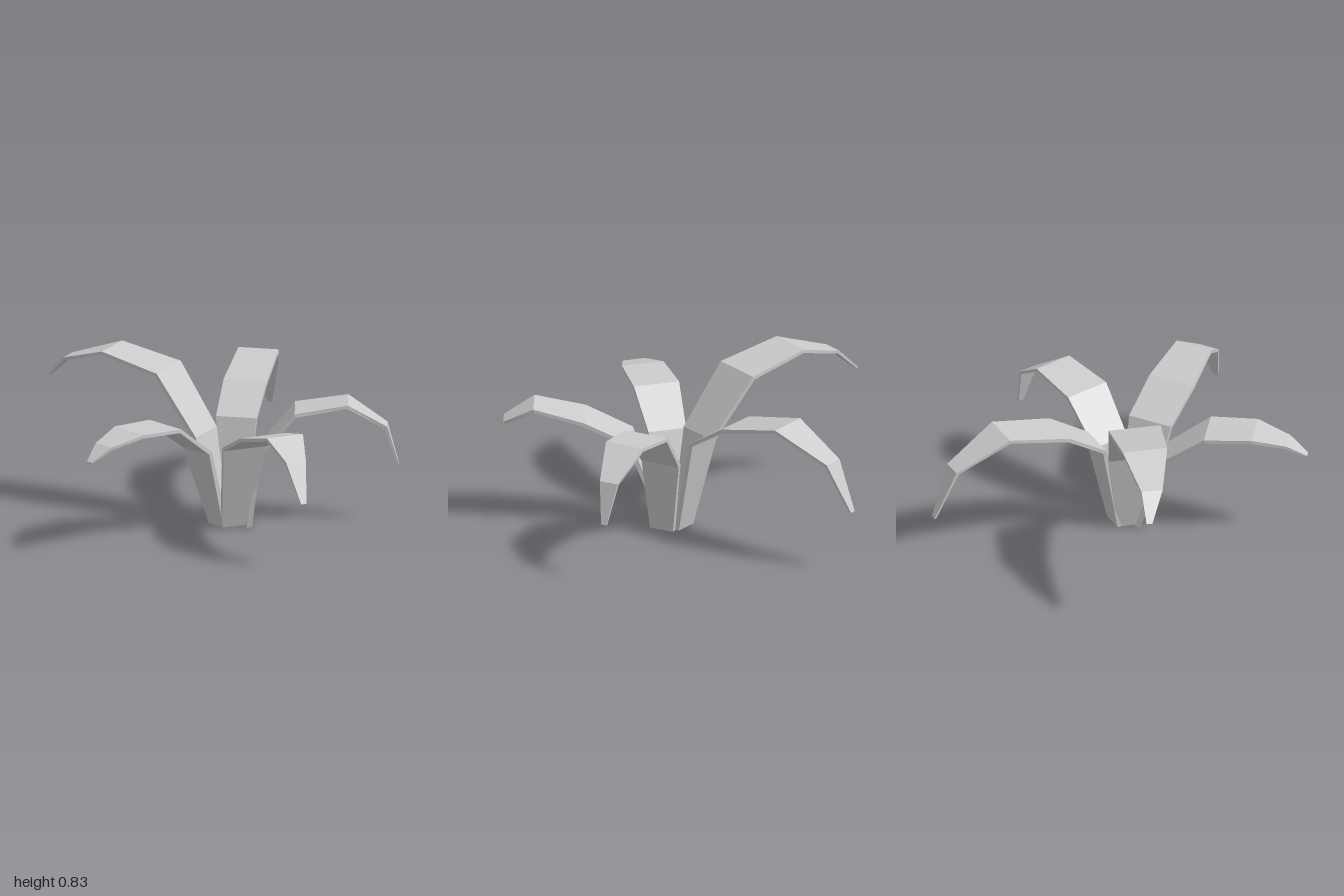
import * as THREE from 'three';

// Each leaf: horizontal heading [x, z] and stations along the upper face [x, y, z, width]
const LEAVES = [
  { name: 'leftLeaf', heading: [1, 0.02], stations: [
    [0.115, 0, 0.125, 0.13], [0.17, 0.39, 0.11, 0.21], [0.36, 0.61, 0.11, 0.245],
    [0.63, 0.65, 0.105, 0.21], [0.83, 0.52, 0.10, 0.10], [0.89, 0.31, 0.10, 0.03]] },
  { name: 'frontLeftLeaf', heading: [0.39, 0.92], stations: [
    [0.04, 0, 0.14, 0.13], [0.10, 0.47, 0.31, 0.24], [0.195, 0.585, 0.53, 0.25],
    [0.305, 0.65, 0.765, 0.20], [0.36, 0.56, 0.91, 0.11], [0.40, 0.355, 0.99, 0.03]] },
  { name: 'backLeaf', heading: [0.22, -0.975], stations: [
    [0.05, 0, 0.055, 0.12], [0.063, 0.51, -0.065, 0.21], [0.11, 0.645, -0.275, 0.225],
    [0.18, 0.72, -0.60, 0.21], [0.233, 0.58, -0.88, 0.107], [0.242, 0.33, -0.995, 0.03]] },
  { name: 'backRightLeaf', heading: [-0.89, -0.46], stations: [
    [0, 0, 0.085, 0.13], [-0.09, 0.46, 0.03, 0.235], [-0.28, 0.765, -0.10, 0.27],
    [-0.567, 0.83, -0.265, 0.23], [-0.79, 0.745, -0.40, 0.11], [-0.88, 0.625, -0.49, 0.03]] },
  { name: 'frontRightLeaf', heading: [-0.74, 0.67], stations: [
    [-0.02, 0, 0.125, 0.11], [-0.13, 0.43, 0.22, 0.20], [-0.30, 0.595, 0.36, 0.24],
    [-0.483, 0.61, 0.523, 0.22], [-0.615, 0.565, 0.635, 0.12], [-0.69, 0.495, 0.70, 0.035]] },
];
const THICKNESS = [0.028, 0.022, 0.02, 0.018, 0.016, 0.01];

// Folded strip with four-cornered cross-sections and closed ends
function leafGeometry(heading, stations) {
  const forward = new THREE.Vector3(heading[0], 0, heading[1]).normalize();
  const side = new THREE.Vector3().crossVectors(forward, new THREE.Vector3(0, 1, 0));
  const centres = stations.map(([x, y, z]) => new THREE.Vector3(x, y, z));
  const positions = [], index = [];
  const last = centres.length - 1;

  centres.forEach((c, i) => {
    const tangent = centres[Math.min(i + 1, last)].clone().sub(centres[Math.max(i - 1, 0)]).normalize();
    // The foot is cut flat on the ground
    const down = i === 0 ? forward.clone() : new THREE.Vector3().crossVectors(tangent, side).normalize();
    if (i > 0 && down.y > 0) down.negate();
    const half = stations[i][3] / 2;
    for (const [s, d] of [[-1, 0], [1, 0], [1, 1], [-1, 1]]) {
      const p = c.clone().addScaledVector(side, s * half).addScaledVector(down, d * THICKNESS[i]);
      positions.push(p.x, p.y, p.z);
    }
  });

  for (let i = 0; i < last; i++) {
    for (let k = 0; k < 4; k++) {
      const a = i * 4 + k, b = i * 4 + (k + 1) % 4;
      index.push(a, b, b + 4, a, b + 4, a + 4);
    }
  }
  const t = last * 4;
  index.push(0, 2, 1, 0, 3, 2, t, t + 1, t + 2, t, t + 2, t + 3);

  const geometry = new THREE.BufferGeometry();
  geometry.setAttribute('position', new THREE.Float32BufferAttribute(positions, 3));
  geometry.setIndex(index);
  const flat = geometry.toNonIndexed();
  flat.computeVertexNormals();
  return flat;
}

export function createModel() {
  const plant = new THREE.Group();
  plant.name = 'plant';
  const material = new THREE.MeshStandardMaterial({
    color: 0xcccccc, flatShading: true, side: THREE.DoubleSide });
  for (const { name, heading, stations } of LEAVES) {
    const leaf = new THREE.Mesh(leafGeometry(heading, stations), material);
    leaf.name = name;
    plant.add(leaf);
  }
  return plant;
}
